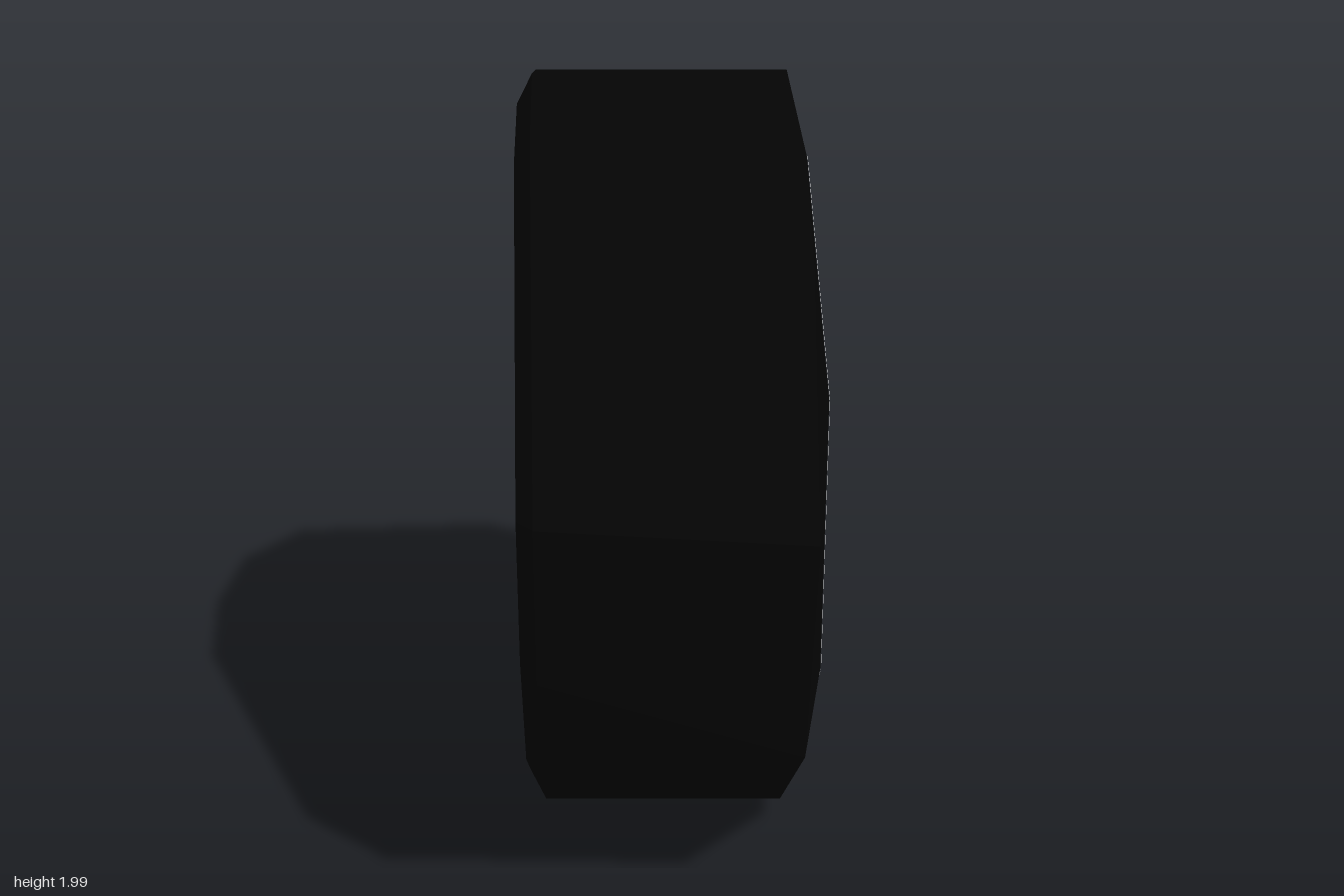
import * as THREE from 'three';

const rubber = new THREE.MeshStandardMaterial({ color: 0x040404, side: THREE.DoubleSide });
rubber.name = 'black rubber';
const metal = new THREE.MeshStandardMaterial({ color: 0xe6e6e6, side: THREE.DoubleSide });
metal.name = 'light grey metal';

const TAU = Math.PI * 2;
const regular = (n, start) => Array.from({ length: n }, (_, i) => start + (i * 360) / n);

// Skin between rings around the x axis whose corner angles may differ
function loftRings(rings) {
  const pos = [];
  const point = ({ x, r, angles }, i) => {
    const a = (angles[i % angles.length] * TAU) / 360;
    return [x, r * Math.sin(a), r * Math.cos(a)];
  };
  const angleAt = ({ angles }, i) => angles[i % angles.length] + 360 * Math.floor(i / angles.length);
  for (let k = 0; k < rings.length - 1; k++) {
    const A = rings[k], B = rings[k + 1];
    let i = 0, j = 0;
    while (i < A.angles.length || j < B.angles.length) {
      const stepA = j >= B.angles.length ||
        (i < A.angles.length && angleAt(A, i + 1) <= angleAt(B, j + 1));
      const a = point(A, i), b = point(B, j);
      if (stepA) pos.push(...a, ...b, ...point(A, ++i));
      else pos.push(...a, ...b, ...point(B, ++j));
    }
  }
  const g = new THREE.BufferGeometry();
  g.setAttribute('position', new THREE.Float32BufferAttribute(pos, 3));
  g.computeVertexNormals();
  return g;
}

// Smooth turned shape around the x axis from [radius, x] pairs
function turned(profile, sides) {
  const g = new THREE.LatheGeometry(profile.map(([r, x]) => new THREE.Vector2(r, x)), sides);
  return g.rotateZ(-Math.PI / 2);
}

// Spoke with a sharp outer ridge and a strut bracing its tip against the barrel
function spokeGeometry() {
  const points = (list) => list.map(([r, x]) => new THREE.Vector2(x, r));
  const shape = new THREE.Shape(points([
    [0.25, -0.34], [0.78, -0.33], [0.78, -0.31], [0.73, -0.19],
    [0.7, -0.19], [0.53, -0.265], [0.25, -0.24],
  ]));
  shape.holes.push(new THREE.Path(points([[0.6, -0.28], [0.715, -0.235], [0.74, -0.285]])));
  const g = new THREE.ExtrudeGeometry(shape, { depth: 1, bevelEnabled: false });
  const p = g.attributes.position;
  for (let i = 0; i < p.count; i++) {
    const t = (p.getY(i) - 0.25) / 0.5;
    const half = THREE.MathUtils.lerp(0.057, 0.037, t) * (p.getX(i) < -0.3 ? 0.2 : 1);
    p.setZ(i, p.getZ(i) > 0.5 ? half : -half);
  }
  g.computeVertexNormals();
  return g;
}

export function createModel() {
  const wheel = new THREE.Group();
  wheel.name = 'wheel';
  wheel.position.y = 1;
  const add = (name, geometry, material, parent = wheel) => {
    const mesh = new THREE.Mesh(geometry, material);
    mesh.name = name;
    parent.add(mesh);
    return mesh;
  };

  // Tyre with uneven facets
  const outerAngles = [7, 64, 85, 109, 140, 171, 193, 212, 243, 266, 292, 316, 344];
  const innerAngles = [4.6, 40, 82.6, 119.7, 148.5, 184.6, 226.6, 263, 292, 328];
  const lipAngles = [24, 73, 129, 176, 218, 264, 305, 336];
  const holeAngles = [13, 36, 54, 72, 90, 108, 126, 144, 167, 193, 216, 234, 252, 270, 288, 306, 324, 347];
  add('tyre', loftRings([
    { x: -0.352, r: 0.805, angles: regular(20, 9) },
    { x: -0.36, r: 0.91, angles: outerAngles },
    { x: -0.32, r: 0.988, angles: outerAngles },
    { x: 0.313, r: 1.003, angles: innerAngles },
    { x: 0.355, r: 0.835, angles: lipAngles },
    { x: 0.355, r: 0.732, angles: holeAngles },
  ]), rubber);

  // Thin seam where tyre meets rim
  add('rimSeam', loftRings([
    { x: 0.356, r: 0.837, angles: lipAngles },
    { x: 0.357, r: 0.835, angles: lipAngles },
  ]), metal);

  // Rim, set a touch low in the tyre
  const rim = new THREE.Group();
  rim.name = 'rim';
  rim.position.y = -0.005;
  wheel.add(rim);

  // Barrel and flared outer lip
  add('rimBarrel', turned([[0.732, -0.2], [0.732, 0.354]], 24), metal, rim);
  add('rimLip', turned([[0.81, -0.355], [0.78, -0.3], [0.732, -0.2]], 24), metal, rim);

  // Spokes
  const spoke = spokeGeometry();
  for (let i = 0; i < 20; i++) {
    add('spoke', spoke, metal, rim).rotation.x = (i * TAU) / 20;
  }

  // Hub: dished outer disc, eight-sided inner body with an uneven cap, centre nut
  add('hubDisc', turned([[0, -0.3], [0.15, -0.315], [0.295, -0.348], [0.3, -0.3]], 24), metal, rim);
  const octagon = regular(8, 0);
  const capAngles = [0, 71, 135, 207, 277];
  add('hubBody', loftRings([
    { x: -0.3, r: 0.26, angles: octagon },
    { x: -0.17, r: 0.285, angles: octagon },
    { x: -0.01, r: 0.29, angles: octagon },
    { x: 0.03, r: 0.22, angles: capAngles },
    { x: 0.03, r: 0, angles: capAngles },
  ]), metal, rim);
  const square = regular(4, 0);
  add('hubNut', loftRings([
    { x: -0.358, r: 0, angles: square },
    { x: -0.355, r: 0.08, angles: square },
    { x: -0.31, r: 0.22, angles: square },
  ]), metal, rim);

  const model = new THREE.Group();
  model.name = 'model';
  model.add(wheel);
  return model;
}
